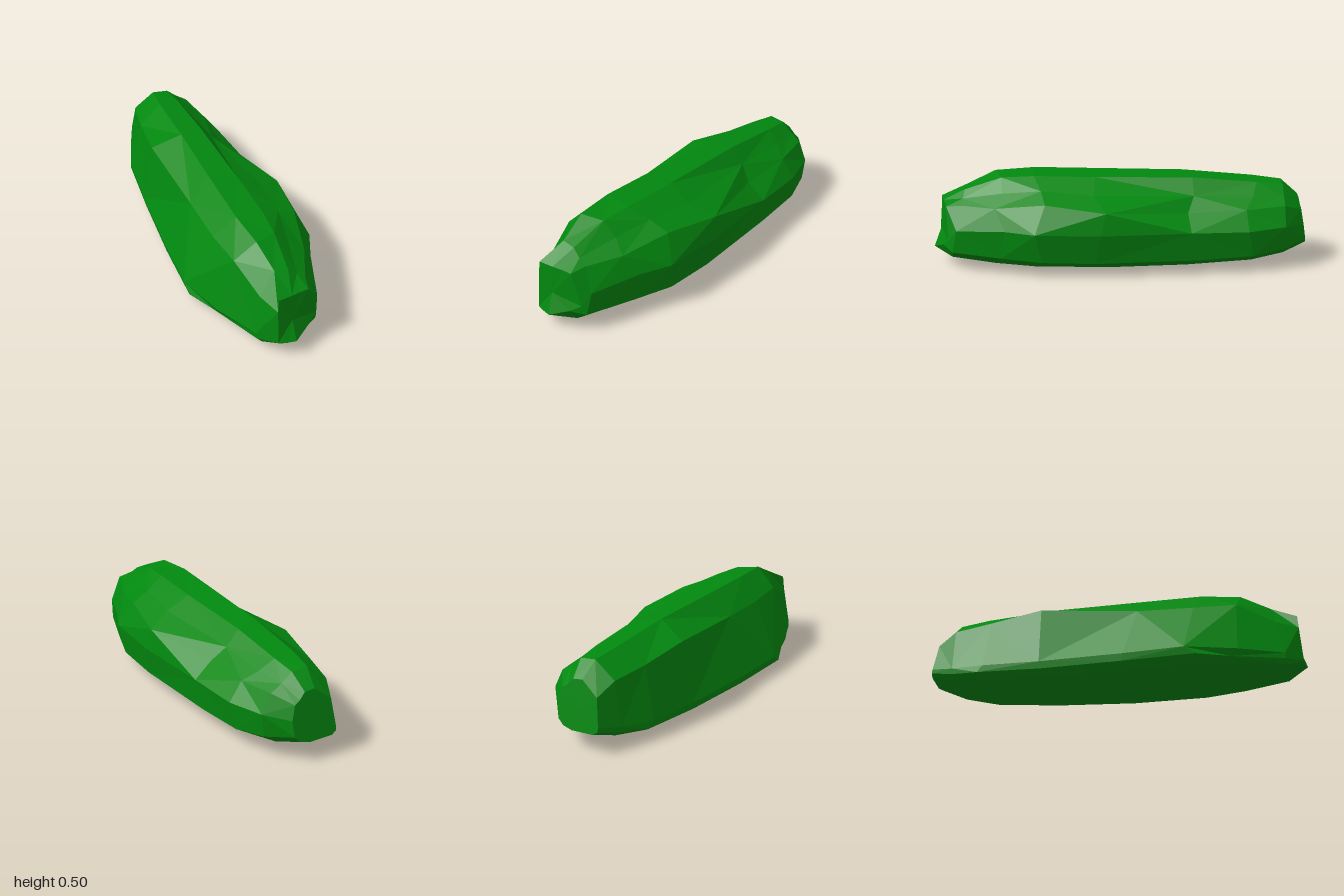
import * as THREE from 'three';

// Skewed cross-section, counter-clockwise from the front: u runs from the
// left edge (-1) to the right edge (1), v from bottom (0) to top (1).
// The names mark the points that each station places itself.
const SECTION = [
  [0.05, 0], [0.6, 0.05], [0.92, 0.16], [1, 0.48], 'right', 'slope',
  [0.17, 0.975], [-0.26, 1], 'left', [-1, 0.17], [-0.98, 0.09], [-0.82, 0.025],
];

// Front to back: z, lean of the slice, x min, x max, y min, y max, left and right shoulder [x, y]
const STATIONS = [
  [0.9, -0.2, -0.16, 0.18, 0.04, 0.42, [-0.125, 0.3], [0.12, 0.345]],
  [0.64, 0, -0.268, 0.267, 0.016, 0.49, [-0.18, 0.39], [0.2, 0.35]],
  [0.42, 0, -0.345, 0.335, 0.008, 0.5, [-0.2, 0.38], [0.265, 0.385]],
  [0.1, 0, -0.328, 0.333, 0, 0.492, [-0.205, 0.38], [0.312, 0.35]],
  [-0.38, 0, -0.295, 0.288, 0.003, 0.485, [-0.235, 0.41], [0.19, 0.315]],
  [-0.68, 0, -0.262, 0.262, 0.025, 0.455, [-0.2, 0.37], [0.19, 0.33]],
  [-0.87, 0, -0.2, 0.2, 0.055, 0.437, [-0.165, 0.35], [0.15, 0.34]],
  [-1.0, 0.16, -0.15, 0.095, 0.1, 0.36, [-0.13, 0.29], [0.075, 0.3]],
];

// Broad, nearly flat facet at the front end
const NOSE = [
  [-0.03, 0.085, 0.99], [0.01, 0.09, 1], [0.1, 0.125, 0.945], [0.155, 0.16, 0.91],
  [0.1, 0.335, 0.92], [0.05, 0.34, 0.93], [0, 0.345, 0.945], [-0.075, 0.35, 0.96],
  [-0.08, 0.28, 0.965], [-0.08, 0.1, 0.98], [-0.08, 0.09, 0.98], [-0.06, 0.087, 0.985],
];

function seeded(seed) {
  return () => {
    seed = (seed * 16807) % 2147483647;
    return seed / 2147483647 - 0.5;
  };
}

function makeRings() {
  const rand = seeded(4217);
  const slices = STATIONS.map(([z, lean, x0, x1, y0, y1, left, right], i) => {
    const inner = i > 0 && i < STATIONS.length - 2;
    // The slope lies just below the line from the right shoulder to the crown
    const slope = [(right[0] + 0.17 * x1) / 2, (right[1] + y1) / 2 - 0.01];
    const placed = { left, right, slope };
    return SECTION.map((point) => {
      const [x, y] = placed[point]
        ?? [point[0] < 0 ? -point[0] * x0 : point[0] * x1, y0 + point[1] * (y1 - y0)];
      // Uneven slices break up the facets
      const shift = inner ? rand() * 0.1 : 0;
      return new THREE.Vector3(x, y, z + lean * (y - y0) + shift);
    });
  });
  return [NOSE.map((p) => new THREE.Vector3(...p)), ...slices];
}

function boulderGeometry() {
  const n = SECTION.length;
  const rings = makeRings();
  const positions = [];
  const tri = (...points) => points.forEach((p) => positions.push(p.x, p.y, p.z));

  // Faceted skin, with the diagonals alternating
  for (let i = 0; i < rings.length - 1; i++) {
    for (let j = 0; j < n; j++) {
      const k = (j + 1) % n;
      const a = rings[i][j], b = rings[i][k], c = rings[i + 1][j], d = rings[i + 1][k];
      if ((i + j) % 2) {
        tri(a, c, b);
        tri(b, c, d);
      } else {
        tri(a, c, d);
        tri(a, d, b);
      }
    }
  }

  // End caps
  const centre = (ring) => ring.reduce((s, p) => s.add(p), new THREE.Vector3()).divideScalar(n);
  const front = rings[0], back = rings[rings.length - 1];
  const frontMid = centre(front), backMid = centre(back);
  for (let j = 0; j < n; j++) {
    const k = (j + 1) % n;
    tri(frontMid, front[j], front[k]);
    tri(backMid, back[k], back[j]);
  }

  const geometry = new THREE.BufferGeometry();
  geometry.setAttribute('position', new THREE.Float32BufferAttribute(positions, 3));
  geometry.computeVertexNormals();
  return geometry;
}

export function createModel() {
  const group = new THREE.Group();
  group.name = 'boulder';
  const material = new THREE.MeshStandardMaterial({ color: 0x02880f, flatShading: true });
  const body = new THREE.Mesh(boulderGeometry(), material);
  body.name = 'boulderBody';
  group.add(body);
  return group;
}
